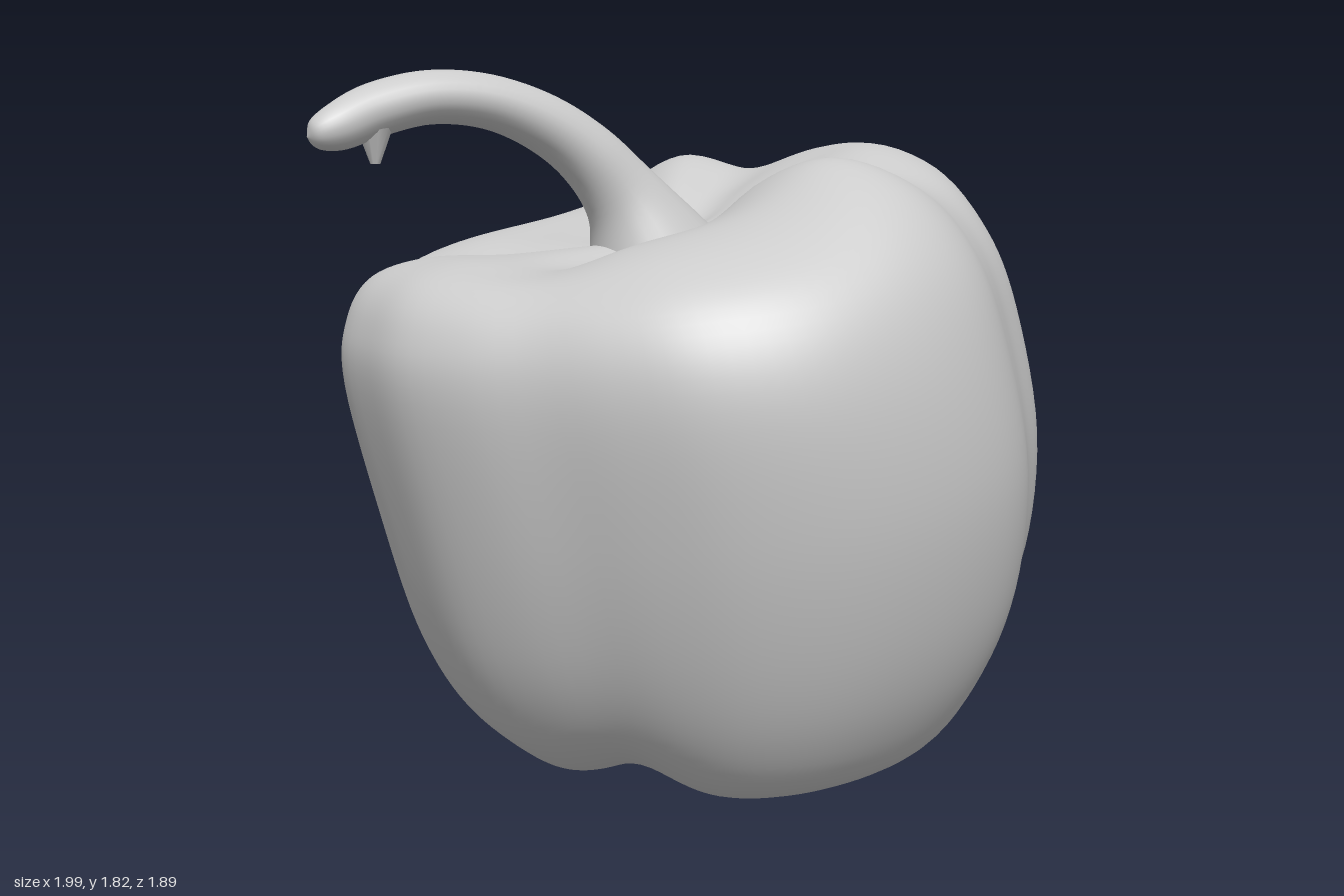
import * as THREE from 'three';

// Uniform Catmull-Rom through rows of numbers, t in 0..1
function spline(rows, t, closed = false) {
  const n = rows.length;
  const f = t * (closed ? n : n - 1);
  const i = Math.min(Math.floor(f), closed ? n : n - 2);
  const u = f - i;
  const at = k => rows[closed ? (k + n) % n : Math.max(0, Math.min(n - 1, k))];
  const [a, b, c, d] = [at(i - 1), at(i), at(i + 1), at(i + 2)];
  return b.map((_, k) => b[k] + 0.5 * u * (c[k] - a[k]
    + u * (2 * a[k] - 5 * b[k] + 4 * c[k] - d[k]
    + u * (3 * (b[k] - c[k]) + d[k] - a[k]))));
}

// Closed-around surface: point(u around, v along) -> [x, y, z]
function loft(name, around, along, point, material) {
  const pos = [], index = [];
  for (let j = 0; j <= along; j++) {
    for (let i = 0; i < around; i++) pos.push(...point(i / around, j / along));
  }
  for (let j = 0; j < along; j++) {
    for (let i = 0; i < around; i++) {
      const k = (i + 1) % around;
      const a = j * around + i, b = j * around + k;
      const c = a + around, d = b + around;
      index.push(a, c, b, b, c, d);
    }
  }
  const geo = new THREE.BufferGeometry();
  geo.setAttribute('position', new THREE.Float32BufferAttribute(pos, 3));
  geo.setIndex(index);
  geo.computeVertexNormals();
  const mesh = new THREE.Mesh(geo, material);
  mesh.name = name;
  return mesh;
}

// Four-lobed outline (x, z), from +x towards +z
const OUTLINE = [
  [1.0, -0.02], [0.97, 0.15], [0.88, 0.33], [0.76, 0.46], [0.66, 0.6], [0.56, 0.74],
  [0.43, 0.84], [0.25, 0.91], [0.04, 0.94], [-0.15, 0.92], [-0.33, 0.85], [-0.48, 0.73],
  [-0.61, 0.59], [-0.75, 0.44], [-0.85, 0.26], [-0.88, 0.06], [-0.88, -0.15], [-0.8, -0.33],
  [-0.69, -0.49], [-0.61, -0.64], [-0.48, -0.77], [-0.3, -0.88], [-0.1, -0.93], [0.1, -0.94],
  [0.33, -0.89], [0.51, -0.78], [0.64, -0.62], [0.72, -0.49], [0.86, -0.36], [0.96, -0.2],
];

// Rings bottom to top: left x, right x, back z, front z, then heights
// at left, right, front, back, then height change in grooves and at crown bumps
const RINGS = [
  [0.02, 0.02, 0, 0, 0.08, 0.08, 0.08, 0.08, 0, 0],
  [-0.2, 0.25, -0.18, 0.2, 0.03, 0.1, 0.07, 0.04, 0.02, 0],
  [-0.38, 0.52, -0.4, 0.45, 0.04, 0.11, 0.04, 0.0, 0.06, 0],
  [-0.5, 0.74, -0.61, 0.64, 0.1, 0.17, 0.1, 0.08, 0.06, 0],
  [-0.61, 0.88, -0.77, 0.77, 0.21, 0.32, 0.26, 0.26, 0.04, 0],
  [-0.71, 0.975, -0.86, 0.87, 0.4, 0.55, 0.5, 0.5, 0.02, 0],
  [-0.8, 0.99, -0.91, 0.935, 0.7, 0.88, 0.8, 0.8, 0, 0],
  [-0.88, 0.92, -0.94, 0.94, 1.04, 1.22, 1.1, 1.1, 0, 0],
  [-0.87, 0.84, -0.9, 0.87, 1.2, 1.42, 1.3, 1.27, 0, 0.03],
  [-0.8, 0.72, -0.81, 0.72, 1.31, 1.58, 1.42, 1.39, -0.02, 0.06],
  [-0.66, 0.53, -0.64, 0.52, 1.36, 1.64, 1.47, 1.44, -0.04, 0.08],
  [-0.46, 0.31, -0.42, 0.33, 1.365, 1.56, 1.45, 1.42, -0.04, 0.06],
  [-0.27, 0.12, -0.21, 0.16, 1.38, 1.45, 1.39, 1.39, -0.02, 0.01],
  [-0.09, -0.09, -0.03, -0.03, 1.39, 1.39, 1.39, 1.39, 0, 0],
];

const GROOVES = [35, 140, 212, 323];
const BUMPS = [68, 300];

// Bell-shaped weight around an angle in degrees
function near(angle, degrees, width) {
  const d = angle - THREE.MathUtils.degToRad(degrees);
  return Math.exp(-((Math.atan2(Math.sin(d), Math.cos(d)) / width) ** 2));
}

function bodyPoint(u, v) {
  const [ox, oz] = spline(OUTLINE, u, true);
  const nx = (ox - 0.06) / 0.94, nz = oz / 0.94;
  const [xl, xr, zb, zf, yl, yr, yf, yb, groove, bump] = spline(RINGS, v);
  const angle = Math.atan2(nz, nx);
  const c = Math.cos(angle), s = Math.sin(angle);
  const mid = (yl + yr) / 2;
  let y = mid + (yr - yl) / 2 * c + s * s * ((s > 0 ? yf : yb) - mid);
  for (const g of GROOVES) y += groove * near(angle, g, 0.3);
  for (const b of BUMPS) y += bump * near(angle, b, 0.3);
  return [
    (xl + xr) / 2 + (xr - xl) / 2 * nx,
    Math.max(0, y),
    (zb + zf) / 2 + (zf - zb) / 2 * nz,
  ];
}

// Stem: centre x, y, z, radius in the bend plane, radius across
const STEM = [
  [-0.06, 1.28, -0.05, 0.23, 0.21],
  [-0.11, 1.4, -0.04, 0.155, 0.15],
  [-0.175, 1.51, -0.03, 0.103, 0.1],
  [-0.27, 1.615, -0.03, 0.083, 0.09],
  [-0.39, 1.695, -0.03, 0.074, 0.086],
  [-0.53, 1.745, -0.03, 0.068, 0.085],
  [-0.68, 1.755, -0.025, 0.066, 0.084],
  [-0.82, 1.725, -0.01, 0.066, 0.078],
  [-0.92, 1.685, 0.02, 0.058, 0.06],
  [-0.98, 1.665, 0.03, 0.036, 0.038],
  [-1.0, 1.66, 0.03, 0, 0],
];

function stemPoint(u, v) {
  const [x, y, z, r, rz] = spline(STEM, v);
  const p = spline(STEM, Math.max(0, v - 0.02)), q = spline(STEM, Math.min(1, v + 0.02));
  const len = Math.hypot(q[0] - p[0], q[1] - p[1]);
  const tx = (q[0] - p[0]) / len, ty = (q[1] - p[1]) / len;
  const a = u * Math.PI * 2;
  return [x + ty * r * Math.cos(a), y - tx * r * Math.cos(a), z + rz * Math.sin(a)];
}

export function createModel() {
  const group = new THREE.Group();
  group.name = 'bellPepper';
  const material = new THREE.MeshStandardMaterial({ color: 0xcccccc });

  group.add(loft('body', 120, 78, bodyPoint, material));
  group.add(loft('stem', 24, 60, stemPoint, material));

  // Small torn nub under the stem tip
  const nub = new THREE.Mesh(new THREE.CylinderGeometry(0.045, 0.012, 0.09, 10), material);
  nub.name = 'stemNub';
  nub.position.set(-0.83, 1.64, 0.01);
  group.add(nub);

  return group;
}
